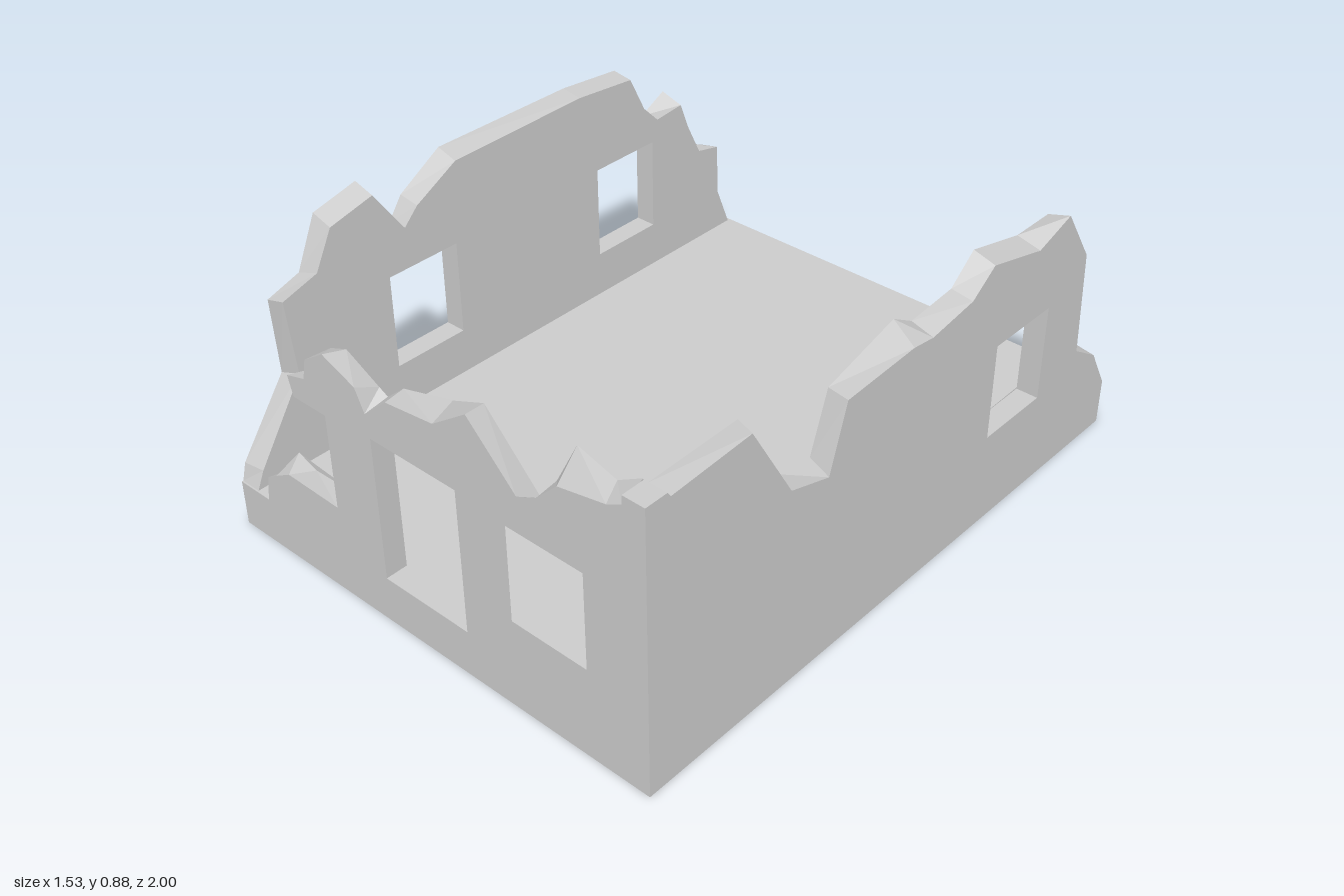
import * as THREE from 'three';

const W = 0.765, T = 0.068, FLOOR = 0.145;
const material = new THREE.MeshStandardMaterial({ color: 0xcccccc, flatShading: true });

// Broken wall: outline points are [u, y, du, dy]; du, dy shift the point on the inner face.
// Windows are [u0, u1, y0, y1]. outerZ is the local depth of the outer face.
function brokenWall(name, outline, windows, outerZ) {
  const shape = new THREE.Shape(outline.map(([u, y]) => new THREE.Vector2(u, y)));
  for (const [u0, u1, y0, y1] of windows) {
    const hole = new THREE.Path();
    hole.moveTo(u0, y0).lineTo(u0, y1).lineTo(u1, y1).lineTo(u1, y0).closePath();
    shape.holes.push(hole);
  }
  const geometry = new THREE.ExtrudeGeometry(shape, { depth: T, bevelEnabled: false });
  const p = geometry.attributes.position;
  for (let i = 0; i < p.count; i++) {
    if (Math.abs(p.getZ(i) - outerZ) < 1e-4) continue;
    const hit = outline.find(([u, y]) => Math.hypot(u - p.getX(i), y - p.getY(i)) < 1e-4);
    if (hit) p.setXY(i, hit[0] + (hit[2] || 0), hit[1] + (hit[3] || 0));
  }
  geometry.computeVertexNormals();
  const mesh = new THREE.Mesh(geometry, material);
  mesh.name = name;
  return mesh;
}

export function createModel() {
  const house = new THREE.Group();
  house.name = 'ruinedHouse';

  // Floor slab
  const slab = new THREE.Mesh(new THREE.BoxGeometry(2 * W, FLOOR, 2), material);
  slab.name = 'floorSlab';
  slab.position.y = FLOOR / 2;
  house.add(slab);

  // Front wall with doorway, one whole window and one broken open
  const front = brokenWall('frontWall', [
    [-0.645, FLOOR], [-0.63, 0.23, 0.02, 0], [-0.59, 0.255, 0.02, 0.05], [-0.53, 0.29, 0.03, -0.01],
    [-0.33, 0.285], [-0.33, 0.58], [-0.455, 0.58, 0.03, 0], [-0.47, 0.64, 0.03, 0],
    [-0.4, 0.66, 0.02, 0], [-0.385, 0.725, 0.02, 0.01], [-0.31, 0.775, 0.01, -0.015],
    [-0.195, 0.73, 0.01, -0.03], [-0.165, 0.665, 0.01, 0.02], [-0.08, 0.74, -0.01, 0],
    [0.09, 0.76, 0, 0.03], [0.21, 0.845, -0.01, -0.01], [0.365, 0.69, 0.01, -0.04],
    [0.43, 0.72, 0, 0.01], [0.5, 0.79, 0, 0.075], [0.65, 0.82, -0.03, 0.01], [W - T, 0.845, 0, 0.03],
    [W - T, FLOOR], [0.15, FLOOR], [0.15, 0.595], [-0.155, 0.595], [-0.155, FLOOR],
  ], [[0.32, 0.57, 0.285, 0.58]], T);
  front.position.z = 1 - T;
  house.add(front);

  // Left-over side wall on +x with one window
  const left = brokenWall('leftWall', [
    [1, FLOOR], [1, 0.87], [0.93, 0.87], [0.92, 0.855], [0.65, 0.87, -0.03, -0.01],
    [0.5, 0.62, -0.04, -0.01], [0.355, 0.575, -0.01, 0.02], [0.295, 0.77, -0.01, 0],
    [0.03, 0.785, 0, 0.055], [-0.05, 0.775, 0, 0.02], [-0.22, 0.8, 0, 0.01],
    [-0.31, 0.865, 0, 0.02], [-0.53, 0.81, 0.01, 0.025], [-0.67, 0.855, 0, -0.02],
    [-0.79, 0.68, 0, 0.01], [-0.81, 0.35, 0.02, 0.03], [-0.92, 0.28, 0.01, 0.02], [-1, FLOOR],
  ], [[-0.615, -0.365, 0.29, 0.59]], 0);
  left.rotation.y = -Math.PI / 2;
  left.position.x = W;
  house.add(left);

  // Side wall on -x with two windows
  const right = brokenWall('rightWall', [
    [0.995, FLOOR], [0.98, 0.2, -0.01, 0], [0.82, 0.42, -0.01, 0.02], [0.83, 0.66, 0, 0.02],
    [0.72, 0.695, -0.01, 0.02], [0.65, 0.85, 0, -0.02], [0.5, 0.885, 0, -0.02],
    [0.4, 0.71, 0, 0.01], [0.35, 0.78, 0, -0.01], [0.2, 0.87, 0, -0.02], [-0.3, 0.87, 0, -0.01],
    [-0.52, 0.85, 0, -0.01], [-0.58, 0.74, 0, -0.02], [-0.64, 0.65, 0, 0.01],
    [-0.74, 0.7, -0.01, -0.03], [-0.785, 0.6, 0, -0.02], [-0.83, 0.48, -0.01, -0.01],
    [-0.94, 0.43, 0.01, 0.02], [-0.915, 0.28, -0.02, 0], [-0.99, FLOOR],
  ], [[-0.615, -0.365, 0.29, 0.59], [0.22, 0.47, 0.29, 0.59]], T);
  right.rotation.y = -Math.PI / 2;
  right.position.x = -W + T;
  house.add(right);

  return house;
}
